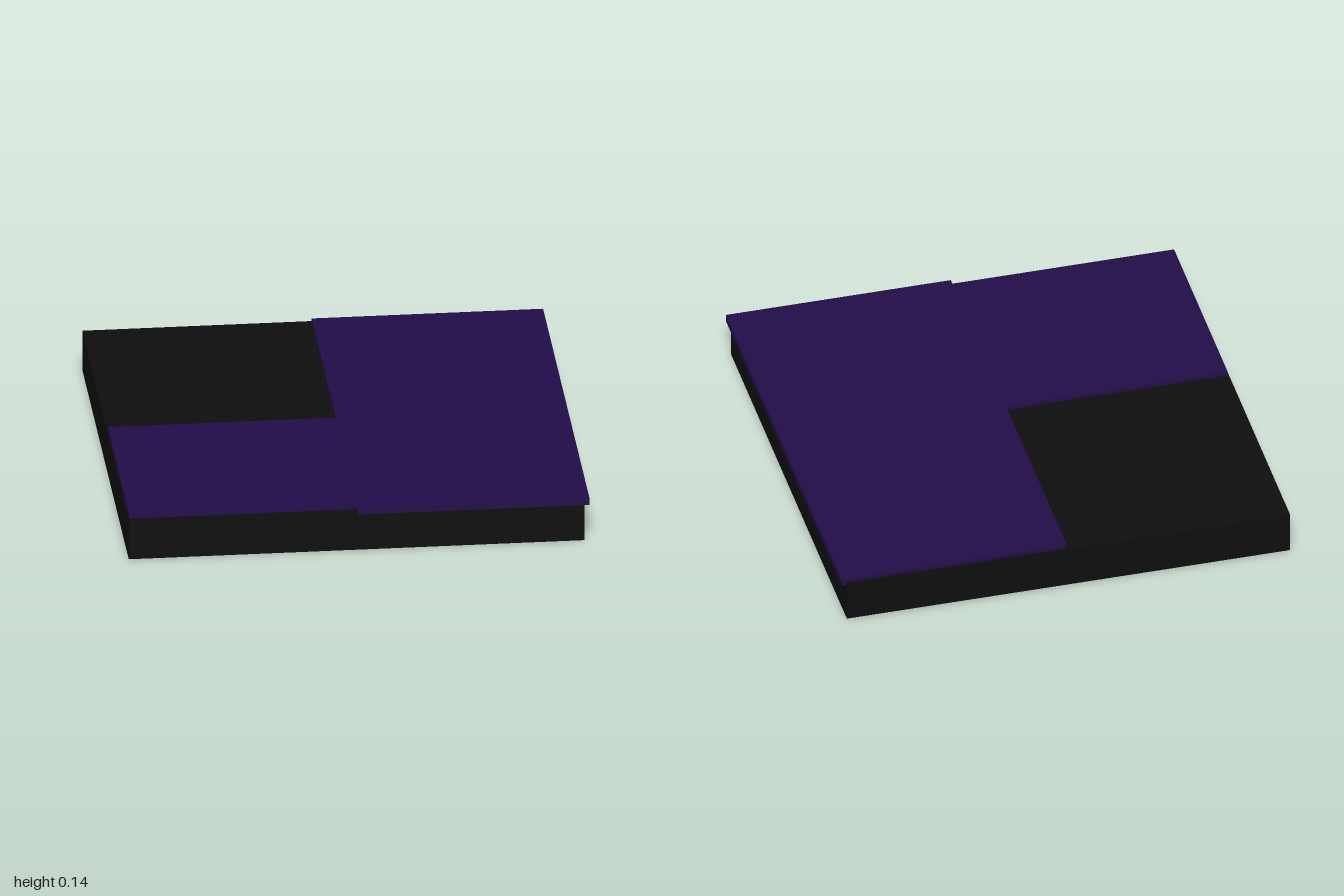
import * as THREE from 'three';

// Slab turned 45 degrees about y, given by its ranges of u = x + z and v = x - z
function slab(name, [u0, u1], [v0, v1], [y0, y1], color) {
  const mesh = new THREE.Mesh(
    new THREE.BoxGeometry((u1 - u0) * Math.SQRT1_2, y1 - y0, (v1 - v0) * Math.SQRT1_2),
    new THREE.MeshStandardMaterial({ color })
  );
  const u = (u0 + u1) / 2, v = (v0 + v1) / 2;
  mesh.position.set((u + v) / 2, (y0 + y1) / 2, (u - v) / 2);
  mesh.rotation.y = -Math.PI / 4;
  mesh.name = name;
  return mesh;
}

export function createModel() {
  const group = new THREE.Group();
  group.name = 'cornerTile';
  const black = 0x0e0e0e, purple = 0x220d48;

  // Square base block
  group.add(slab('base', [-1, 0.983], [-1, 0.98], [0, 0.133], black));

  // L-shaped inlay: a long strip that overhangs the base, and a square beside it
  group.add(slab('longStrip', [-0.99, 1], [-0.005, 1], [0.123, 0.145], purple));
  group.add(slab('squarePanel', [0.05, 0.973], [-0.995, -0.005], [0.123, 0.145], purple));

  return group;
}
